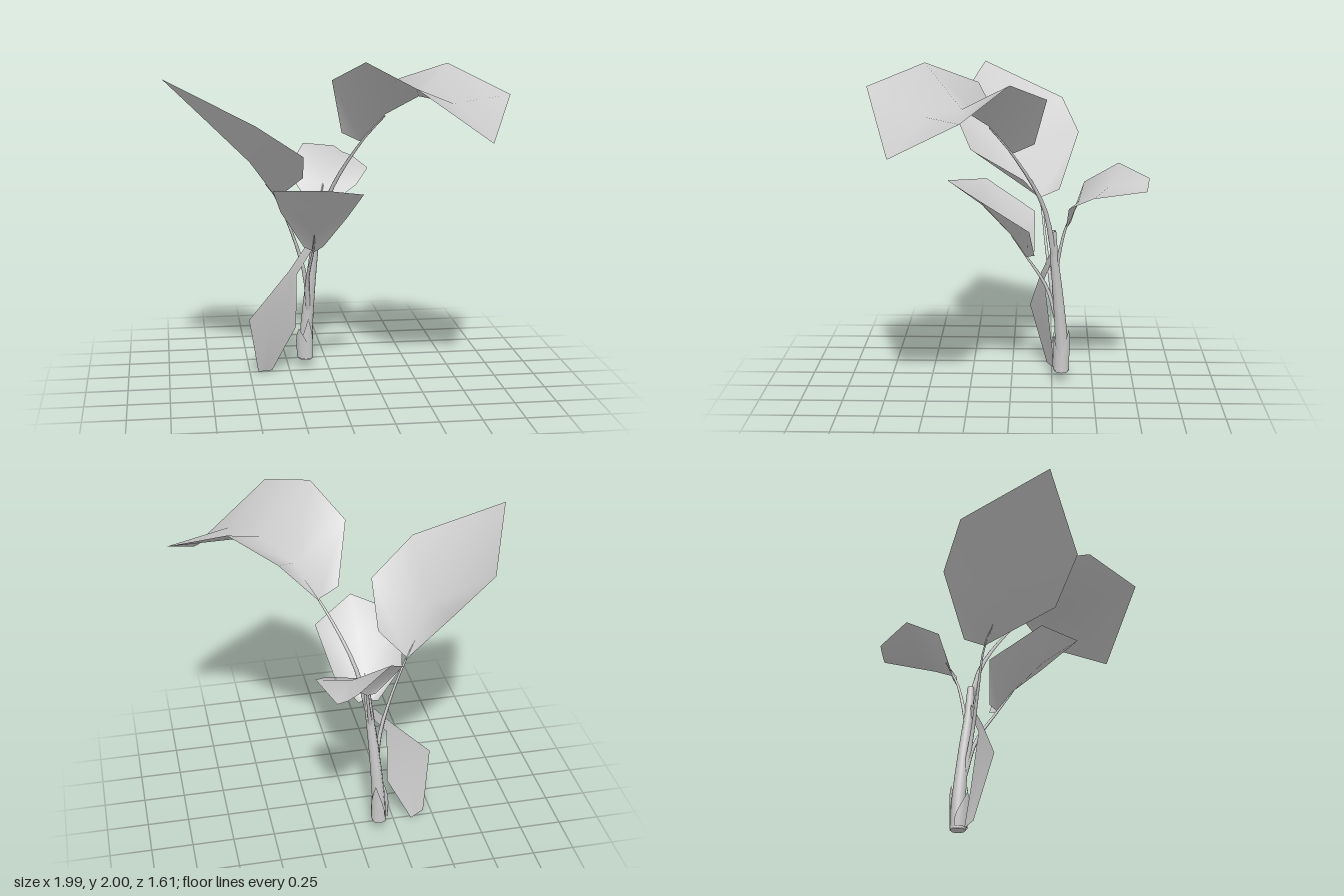
import * as THREE from 'three';

const material = new THREE.MeshStandardMaterial({ color: 0xcccccc, side: THREE.DoubleSide });

function mesh(name, geometry) {
  const m = new THREE.Mesh(geometry, material);
  m.name = name;
  return m;
}

// Blade woven from cross rows of [edge, midrib, edge]; a last row of one point closes the tip.
function blade(name, rows) {
  const points = rows.flat(), index = [];
  rows.slice(0, -1).forEach((row, i) => {
    const a = i * 3, b = a + 3, next = rows[i + 1];
    for (let k = 0; k < 2; k++) {
      if (next.length === 1) index.push(a + k, a + k + 1, b);
      // diagonals mirror about the midrib
      else if (k === 0) index.push(a, a + 1, b, a + 1, b + 1, b);
      else index.push(a + 1, a + 2, b + 2, a + 1, b + 2, b + 1);
    }
  });
  const g = new THREE.BufferGeometry();
  g.setAttribute('position', new THREE.Float32BufferAttribute(points.flat(), 3));
  g.setIndex(index);
  g.computeVertexNormals();
  return mesh(name, g);
}

// Tube along a curve, tapering from r0 to r1.
function stalk(name, points, r0, r1, sides = 6, steps = 10) {
  const curve = new THREE.CatmullRomCurve3(points.map(p => new THREE.Vector3(...p)));
  const g = new THREE.TubeGeometry(curve, steps, r0, sides);
  const pos = g.attributes.position, v = new THREE.Vector3();
  for (let i = 0; i <= steps; i++) {
    const centre = curve.getPointAt(i / steps);
    const scale = 1 + (r1 / r0 - 1) * i / steps;
    for (let j = 0; j <= sides; j++) {
      const n = i * (sides + 1) + j;
      v.fromBufferAttribute(pos, n).sub(centre).multiplyScalar(scale).add(centre);
      pos.setXYZ(n, v.x, v.y, v.z);
    }
  }
  return mesh(name, g);
}

// Open husk around the stem foot, rising to a point at the middle of its arc.
function sheath(name, angle, arc, height, radius, flare) {
  const g = new THREE.CylinderGeometry(radius, radius, 1, 6, 2, true, angle - arc / 2, arc);
  const pos = g.attributes.position;
  for (let i = 0; i < pos.count; i++) {
    const t = pos.getY(i) + 0.5;
    const a = Math.atan2(pos.getX(i), pos.getZ(i));
    const off = Math.abs(Math.atan2(Math.sin(a - angle), Math.cos(a - angle))) / (arc / 2);
    const y = t * height * (1 - 0.7 * off);
    const out = 1 + flare * t * (1 - off);
    pos.setXYZ(i, pos.getX(i) * out, y, pos.getZ(i) * out);
  }
  g.computeVertexNormals();
  const m = mesh(name, g);
  m.position.set(-0.145, 0.07, -0.31);
  return m;
}

export function createModel() {
  const plant = new THREE.Group();
  plant.name = 'plant';

  // Stem with a closed foot
  plant.add(stalk('stem', [[-0.145, 0.06, -0.31], [-0.14, 0.22, -0.31], [-0.115, 0.55, -0.285],
    [-0.09, 0.8, -0.26], [-0.075, 0.97, -0.25]], 0.045, 0.02, 8, 12));
  const foot = mesh('stemFoot', new THREE.CircleGeometry(0.045, 8));
  foot.rotation.x = Math.PI / 2;
  foot.position.set(-0.145, 0.06, -0.31);
  plant.add(foot);

  // Husks at the foot
  plant.add(sheath('frontSheath', -0.7, 2.4, 0.2, 0.053, 0.35));
  plant.add(sheath('innerSheath', 0.25, 2.2, 0.26, 0.049, 0.1));
  plant.add(sheath('backSheath', 2.5, 2.4, 0.27, 0.047, 0.15));

  // Leaf stalks
  plant.add(stalk('rightLeafStalk', [[-0.13, 0.38, -0.28], [-0.155, 0.62, -0.24],
    [-0.22, 0.85, -0.21], [-0.33, 1.12, -0.17], [-0.4, 1.22, -0.12]], 0.016, 0.004));
  plant.add(stalk('topLeafStalk', [[-0.085, 0.8, -0.26], [-0.01, 1.13, -0.195],
    [0.16, 1.48, -0.01], [0.28, 1.65, 0.115]], 0.018, 0.004));
  plant.add(stalk('frontLeafStalk', [[-0.13, 0.38, -0.28], [-0.14, 0.6, -0.215],
    [-0.12, 0.8, -0.09], [-0.12, 0.93, 0]], 0.016, 0.004));
  plant.add(stalk('backLeafStalk', [[-0.1, 0.7, -0.27], [-0.075, 0.88, -0.3],
    [-0.06, 1.0, -0.33], [-0.02, 1.16, -0.4]], 0.014, 0.004));

  // Leaves
  plant.add(blade('rightLeaf', [
    [[-0.29, 1.18, -0.29], [-0.33, 1.12, -0.17], [-0.18, 1.26, -0.07]],
    [[-0.52, 1.5, -0.41], [-0.5, 1.37, -0.02], [-0.21, 1.44, 0.25]],
    [[-0.8, 1.68, -0.31], [-0.75, 1.63, 0.07], [-0.49, 1.64, 0.37]],
    [[-1, 1.89, 0.19]],
  ]));
  plant.add(blade('topLeaf', [
    [[0.04, 1.54, 0.01], [0.16, 1.48, -0.01], [0.18, 1.54, -0.14]],
    [[-0.04, 1.87, 0.19], [0.28, 1.66, 0.12], [0.42, 1.83, -0.21]],
    [[0.11, 2, 0.49], [0.45, 1.78, 0.26], [0.67, 1.94, -0.01]],
    [[0.33, 1.89, 0.8], [0.61, 1.76, 0.45], [0.99, 1.78, 0.24]],
    [[0.8, 1.56, 0.64]],
  ]));
  plant.add(blade('frontLeaf', [
    [[-0.17, 0.82, -0.14], [-0.11, 0.8, -0.09], [-0.05, 0.82, -0.14]],
    [[-0.31, 1.04, -0.14], [-0.12, 0.93, 0], [0.09, 1, -0.11]],
    [[-0.38, 1.23, 0.16], [-0.12, 1.12, 0.18], [0.15, 1.2, 0.18]],
    [[-0.11, 1.27, 0.385]],
  ]));
  plant.add(blade('backLeaf', [
    [[-0.03, 1.01, -0.33], [-0.06, 1, -0.34], [-0.1, 1.02, -0.36]],
    [[0.18, 1.16, -0.34], [-0.02, 1.16, -0.4], [-0.24, 1.24, -0.44]],
    [[0.27, 1.24, -0.48], [0.08, 1.27, -0.57], [-0.12, 1.38, -0.64]],
    [[0.21, 1.27, -0.79], [0.155, 1.29, -0.8], [0.1, 1.33, -0.81]],
  ]));

  // Wilted leaf hanging to the ground
  plant.add(blade('hangingLeaf', [
    [[-0.12, 0.84, -0.245], [-0.105, 0.82, -0.25], [-0.09, 0.8, -0.255]],
    [[-0.26, 0.66, -0.18], [-0.235, 0.645, -0.19], [-0.21, 0.63, -0.2]],
    [[-0.51, 0.38, -0.11], [-0.36, 0.335, -0.175], [-0.21, 0.29, -0.24]],
    [[-0.45, 0.01, -0.22], [-0.405, 0.005, -0.245], [-0.36, 0, -0.27]],
  ]));

  return plant;
}
